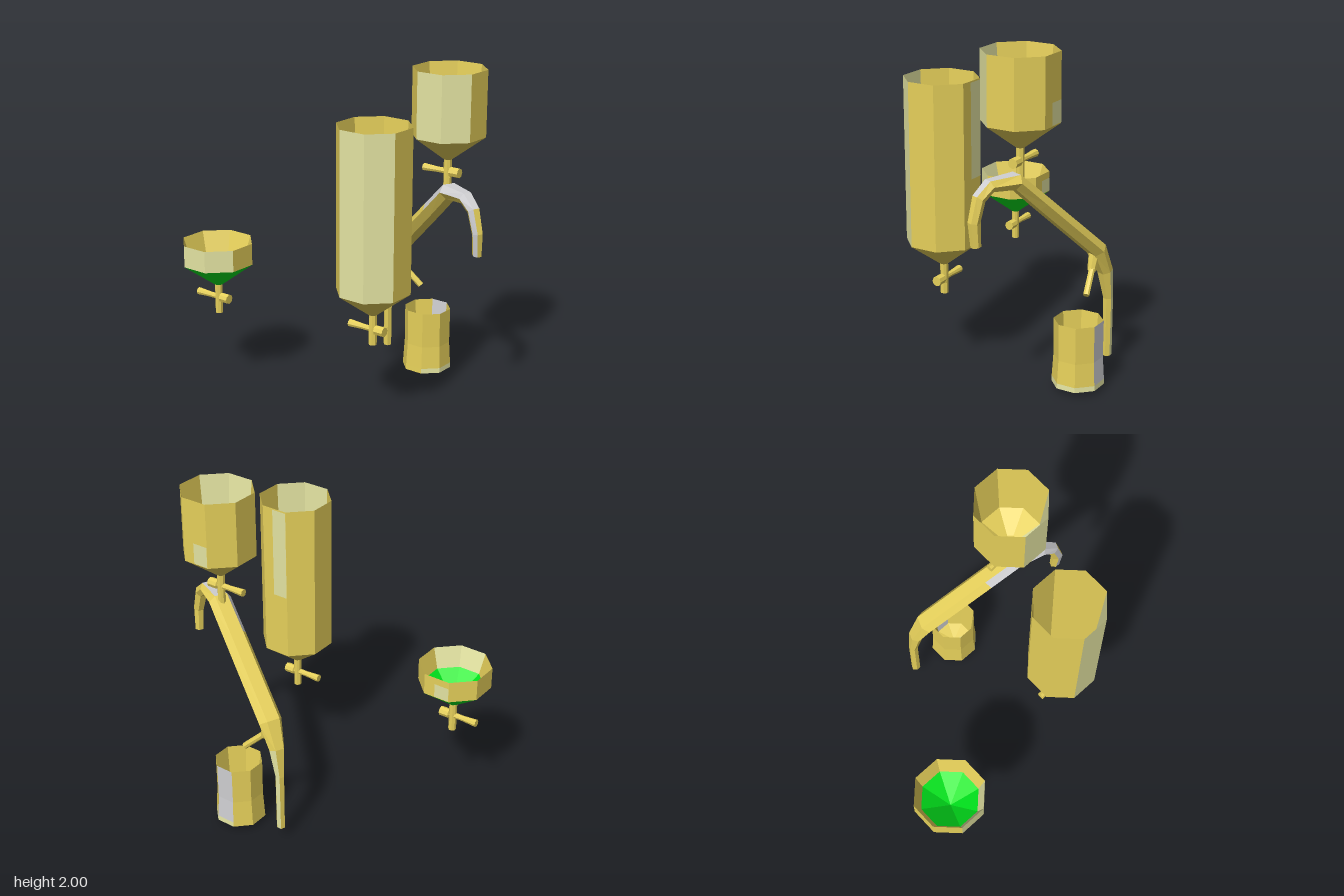
import * as THREE from 'three';

function colour(name, hex) {
  const material = new THREE.MeshStandardMaterial({ color: hex, flatShading: true });
  material.name = name;
  return material;
}
const gold = colour('gold', 0xe6d05a);
const green = colour('bright green', 0x00e61c);
const pale = colour('pale khaki', 0xe4e4a2);
const grey = colour('light grey', 0xcfcfd2);

// Facet a geometry and wrap it in a named mesh
function part(name, geometry, material = gold) {
  const g = geometry.index ? geometry.toNonIndexed() : geometry;
  g.computeVertexNormals();
  const mesh = new THREE.Mesh(g, material);
  mesh.name = name;
  return mesh;
}

// Colour a grid of quads: paint(column, row) picks a material for each
function paintQuads(geometry, columns, rows, paint) {
  const palette = [gold, pale, grey];
  for (let i = 0; i < columns; i++) {
    for (let j = 0; j < rows; j++) {
      geometry.addGroup((i * rows + j) * 6, 6, palette.indexOf(paint(i, j)));
    }
  }
  return palette;
}

// Eight-sided turned shape from [radius, height] pairs
function turned(name, profile, material = gold, paint = null) {
  const g = new THREE.LatheGeometry(profile.map(([r, y]) => new THREE.Vector2(r, y)), 8);
  return part(name, g, paint ? paintQuads(g, 8, profile.length - 1, paint) : material);
}

// Hopper with a funnel bottom, outlet stem and stopcock; origin at the wall's lower edge
function createHopper(name, { wall, filled = false, tapHeight, patch }) {
  const group = new THREE.Group();
  group.name = name;
  // Pale panels on the front right of the wall
  group.add(turned('hopperWall', [[0.218, 0], [0.218, wall], [0.178, 0.005]], gold,
    (side) => (side >= 6 ? pale : gold)));
  group.add(turned('funnelOuter', [[0.022, -0.145], [0.218, 0]], filled ? green : gold));
  if (filled) {
    group.add(turned('funnelInner', [[0.178, 0.005], [0, -0.135]], green));
  } else {
    group.add(turned('funnelInner', [[0.178, 0.005], [0.047, -0.105], [0.022, -0.135]], gold,
      (side, row) => (side === 7 && row === 0 ? pale : gold)));
  }
  group.add(turned('outletStem', [
    [0, -0.325], [0.024, -0.325], [0.024, -0.135], [0.02, -0.135], [0.02, -0.22], [0, -0.22],
  ]));

  // Thin pale patch on the rear half of one left-hand panel
  const [low, high] = patch;
  const plate = new THREE.PlaneGeometry(0.095, high - low);
  plate.translate(0.035, (low + high) / 2, 0.218 * Math.cos(Math.PI / 8) + 0.002);
  plate.rotateY(Math.PI * 0.625);
  group.add(part('palePatch', plate, pale));

  const tap = turned('stopcock', [
    [0, -0.163], [0.023, -0.163], [0.017, -0.068], [0.018, 0.017],
    [0.029, 0.022], [0.029, 0.082], [0, 0.082],
  ]);
  tap.rotation.set(Math.PI / 2, 0, -0.41);
  tap.position.y = tapHeight;
  group.add(tap);
  return group;
}

// Curved pipe: six-sided rings swept along stations in the y-z plane
function createPipe() {
  // x, y, z, half width, half thickness
  const stations = [
    [0.552, 0.965, 0.627, 0.025, 0.026],
    [0.545, 1.10, 0.634, 0.031, 0.030],
    [0.54, 1.228, 0.597, 0.037, 0.033],
    [0.535, 1.286, 0.525, 0.045, 0.034],
    [0.535, 1.284, 0.36, 0.07, 0.042],
    [0.535, 1.129, 0.186, 0.071, 0.043],
    [0.535, 0.768, -0.22, 0.072, 0.046],
    [0.535, 0.62, -0.289, 0.048, 0.037],
    [0.535, 0.444, -0.317, 0.027, 0.025],
    [0.535, 0.08, -0.317, 0.024, 0.025],
  ];
  const hex = [[1, 0], [0.55, -1], [-0.55, -1], [-1, 0], [-0.55, 1], [0.55, 1]];
  const points = stations.map(([x, y, z]) => new THREE.Vector3(x, y, z));
  const pos = [], index = [], n = hex.length, last = stations.length - 1;
  const direction = (i) => points[i + 1].clone().sub(points[i]).setX(0).normalize();
  stations.forEach(([, , , w, h], i) => {
    const t = direction(Math.max(i - 1, 0)).add(direction(Math.min(i, last - 1))).normalize();
    for (const [a, b] of hex) {
      pos.push(points[i].x + a * w, points[i].y - b * h * t.z, points[i].z + b * h * t.y);
    }
  });
  for (let i = 0; i < last; i++) {
    for (let j = 0; j < n; j++) {
      const a = i * n + j, b = i * n + (j + 1) % n;
      index.push(a, b, a + n, b, b + n, a + n);
    }
  }
  // End caps
  for (let j = 1; j < n - 1; j++) {
    index.push(0, j + 1, j);
    index.push(last * n, last * n + j, last * n + j + 1);
  }
  const g = new THREE.BufferGeometry();
  g.setAttribute('position', new THREE.Float32BufferAttribute(pos, 3));
  g.setIndex(index);
  // Grey on top of the front bend and along its right edge, pale down one edge of the rear drop
  const palette = paintQuads(g, last, n, (ring, side) => {
    if (side === 4 && (ring === 2 || ring === 3)) return grey;
    if (side === 3 && ring <= 4) return grey;
    return side === 5 && ring >= 7 ? pale : gold;
  });
  g.addGroup(last * n * 6, (n - 2) * 6, 0);
  return part('curvedPipe', g, palette);
}

// Tapered rod between two points
function rod(name, from, to, r0, r1) {
  const a = new THREE.Vector3(...from), b = new THREE.Vector3(...to);
  const dir = b.clone().sub(a);
  const mesh = part(name, new THREE.CylinderGeometry(r1, r0, dir.length(), 8));
  mesh.position.copy(a).add(b).multiplyScalar(0.5);
  mesh.quaternion.setFromUnitVectors(new THREE.Vector3(0, 1, 0), dir.normalize());
  return mesh;
}

export function createModel() {
  const model = new THREE.Group();
  model.name = 'dispensingApparatus';

  const tall = createHopper('tallHopper', { wall: 0.963, tapHeight: -0.232, patch: [0.4, 0.955] });
  tall.position.set(-0.03, 0.8, 0.453);

  const upper = createHopper('upperHopper', { wall: 0.39, tapHeight: -0.216, patch: [0.005, 0.13] });
  upper.position.set(0.539, 1.61, 0.325);

  const shallow = createHopper('shallowHopper', { wall: 0.132, filled: true, tapHeight: -0.225, patch: [0.005, 0.09] });
  shallow.position.set(-0.577, 0.79, -0.457);

  // Pipe with its small side spout
  const pipe = new THREE.Group();
  pipe.name = 'pipeAssembly';
  pipe.add(createPipe());
  pipe.add(rod('spoutRoot', [0.54, 0.745, -0.205], [0.55, 0.648, -0.176], 0.036, 0.026));
  pipe.add(rod('sideSpout', [0.552, 0.663, -0.178], [0.628, 0.545, -0.075], 0.019, 0.019));

  // Open cup with a flared foot, one grey panel and a small point underneath
  const cup = turned('collectingCup', [
    [0, 0], [0.05, 0.03], [0.153, 0.03], [0.151, 0.06], [0.142, 0.2], [0.143, 0.42],
    [0.115, 0.07], [0, 0.045],
  ], gold, (side, row) => {
    if (side === 2 && row >= 3 && row <= 5) return grey;
    if (row === 6 && side === 7) return pale;
    return row === 2 && [7, 0, 1, 2].includes(side) ? pale : gold;
  });
  cup.position.set(0.641, 0, -0.013);

  model.add(tall, upper, shallow, pipe, cup);
  return model;
}
